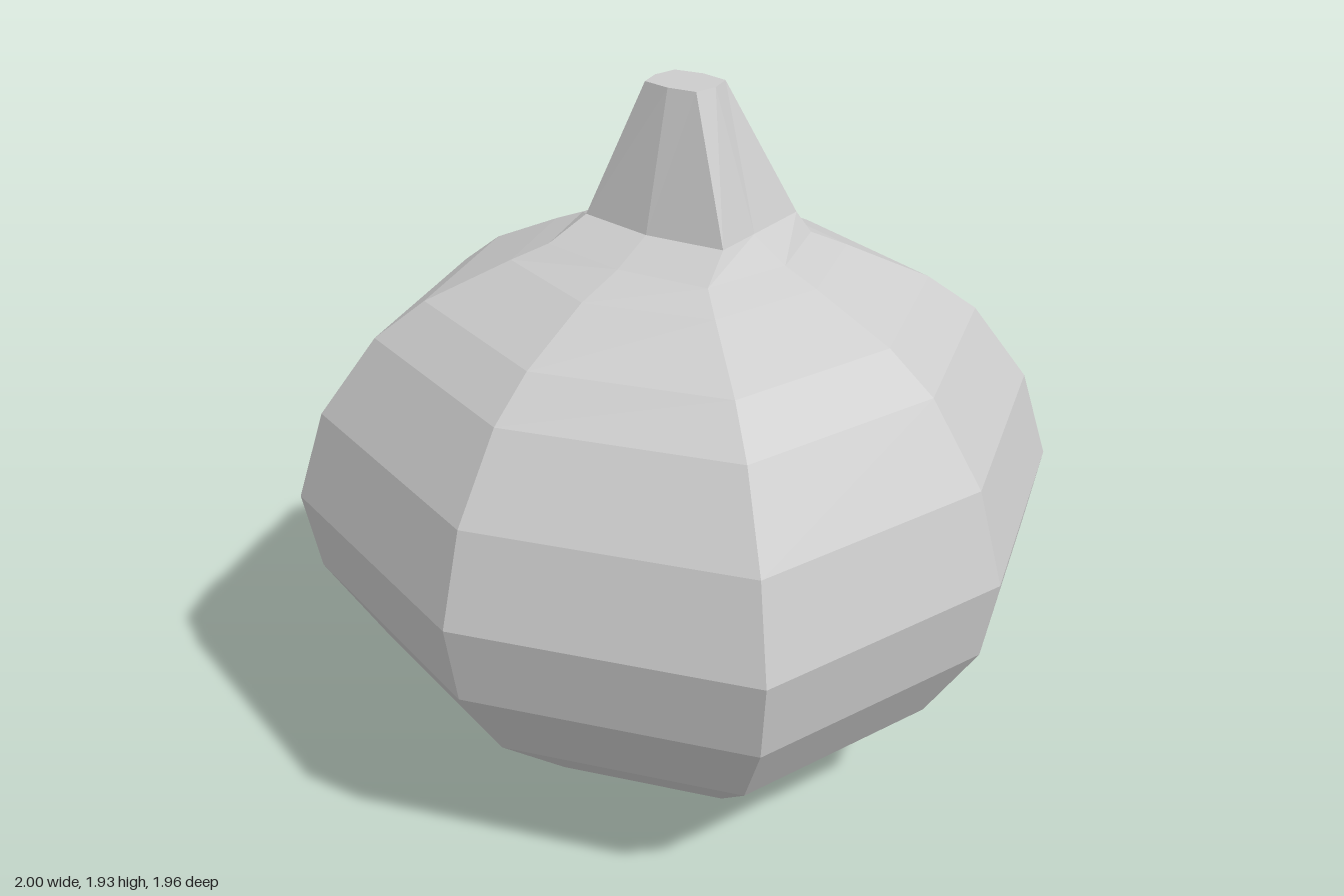
import * as THREE from 'three';

const skin = new THREE.MeshStandardMaterial({ color: 0xcccccc, flatShading: true });
skin.name = 'pale grey';

// Eight-sided ring, mirrored about x: front point, front corner, side point, back corner, back point
function ring(y, front, [fx, fz], [sx, sz], [bx, bz], back) {
  return [[0, front], [fx, fz], [sx, sz], [bx, bz], [0, back], [-bx, bz], [-sx, sz], [-fx, fz]]
    .map(([x, z]) => new THREE.Vector3(x, y, z));
}

// Body ring scaled from the widest octagon
const bodyRing = (y, s) =>
  ring(y, 0.98 * s, [0.77 * s, 0.72 * s], [s, 0], [0.77 * s, -0.72 * s], -0.98 * s);

// Skin between successive rings, with optional end caps
function loft(rings, capBottom, capTop) {
  const pos = [];
  const tri = (a, b, c) => pos.push(...a.toArray(), ...b.toArray(), ...c.toArray());
  for (let i = 0; i < rings.length - 1; i++) {
    for (let j = 0; j < 8; j++) {
      const k = (j + 1) % 8, lo = rings[i], hi = rings[i + 1];
      tri(lo[j], lo[k], hi[k]);
      tri(lo[j], hi[k], hi[j]);
    }
  }
  const top = rings[rings.length - 1];
  for (let j = 1; j < 7; j++) {
    if (capBottom) tri(rings[0][0], rings[0][j + 1], rings[0][j]);
    if (capTop) tri(top[0], top[j], top[j + 1]);
  }
  const geo = new THREE.BufferGeometry();
  geo.setAttribute('position', new THREE.Float32BufferAttribute(pos, 3));
  geo.computeVertexNormals();
  return geo;
}

export function createModel() {
  const model = new THREE.Group();
  model.name = 'bulb';

  // Shoulder ring and collar, where the bulb narrows into the stem
  const shoulder = ring(1.51, 0.27, [0.255, 0.235], [0.33, 0], [0.255, -0.24], -0.275);
  const collar = ring(1.565, 0.15, [0.22, 0.12], [0.22, -0.02], [0.22, -0.22], -0.26);

  // Rounded bulb
  const base = ring(0, 0.135, [0.125, 0.12], [0.135, 0], [0.125, -0.12], -0.135);
  const levels = [[0.115, 0.56], [0.335, 0.81], [0.575, 0.96], [0.8, 1],
    [1.05, 0.925], [1.265, 0.775], [1.365, 0.645], [1.47, 0.425]];
  const body = new THREE.Mesh(
    loft([base, ...levels.map(([y, s]) => bodyRing(y, s)), shoulder, collar], true, false), skin);
  body.name = 'body';
  model.add(body);

  // Tapered stem with a flat tip
  const tip = ring(1.93, 0.055, [0.08, 0.043], [0.095, -0.02], [0.08, -0.085], -0.1);
  const stem = new THREE.Mesh(loft([collar, tip], false, true), skin);
  stem.name = 'stem';
  model.add(stem);

  return model;
}
